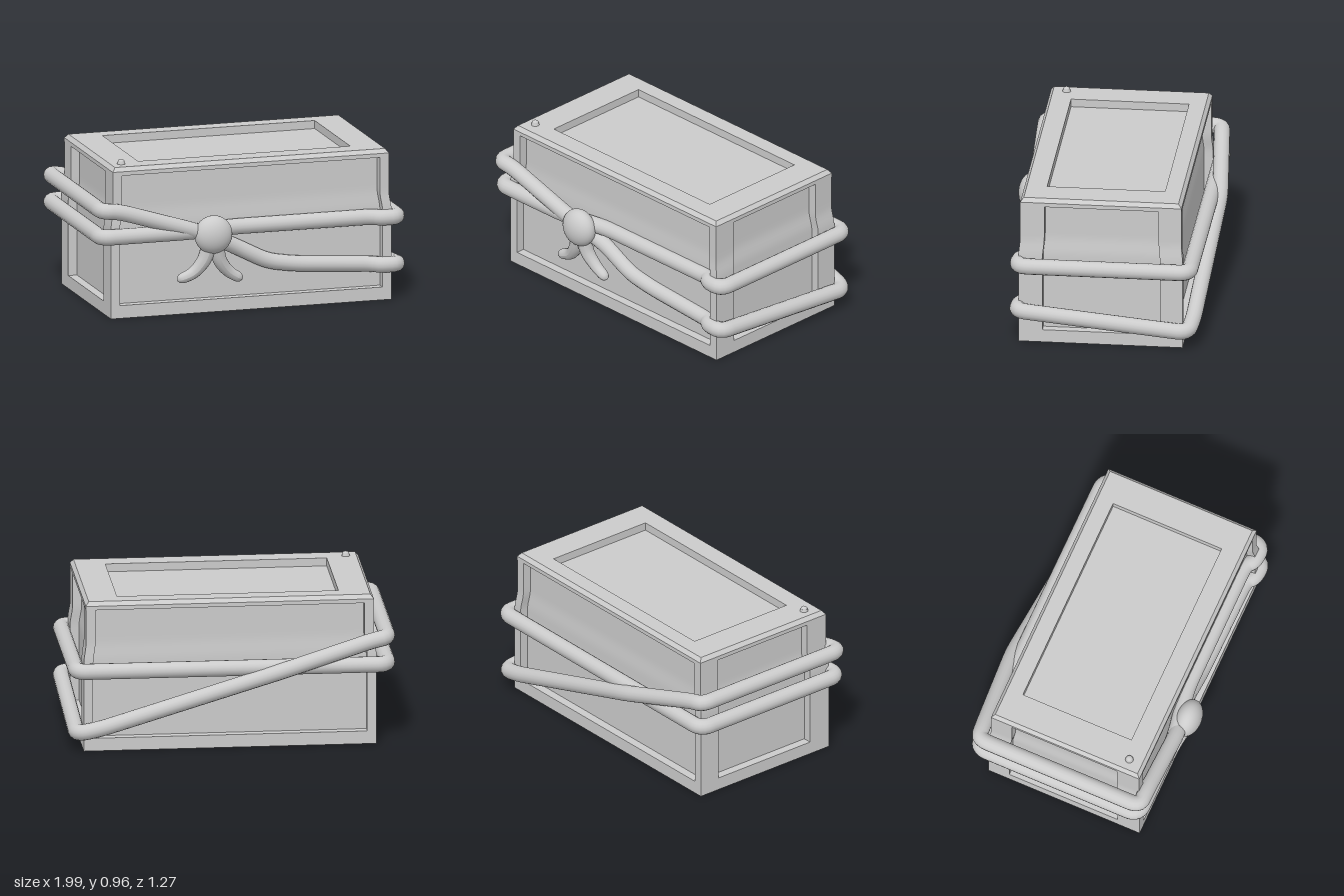
import * as THREE from 'three';

const mat = new THREE.MeshStandardMaterial({ color: 0xcccccc });
const V = (x, y, z) => new THREE.Vector3(x, y, z);

function add(parent, name, geo, x = 0, y = 0, z = 0) {
  const m = new THREE.Mesh(geo, mat);
  m.name = name;
  m.position.set(x, y, z);
  parent.add(m);
  return m;
}

// Box from limits, drawn in slightly above mid height
function taperedBox(x0, x1, y0, y1, z0, z1) {
  const g = new THREE.BoxGeometry(x1 - x0, y1 - y0, z1 - z0, 1, 30, 1);
  g.translate((x0 + x1) / 2, (y0 + y1) / 2, (z0 + z1) / 2);
  const p = g.attributes.position;
  for (let i = 0; i < p.count; i++) {
    const f = THREE.MathUtils.smoothstep(p.getY(i), 0.55, 0.68);
    p.setX(i, p.getX(i) - Math.sign(p.getX(i)) * 0.015 * f);
    p.setZ(i, p.getZ(i) - Math.sign(p.getZ(i)) * 0.01 * f);
  }
  g.computeVertexNormals();
  return g;
}

// Closed loop of straight runs joined by rounded corners
function ropeLoop(points, cut, radius) {
  const path = new THREE.CurvePath();
  const n = points.length;
  const toward = (a, b) => {
    const d = b.clone().sub(a);
    return a.clone().addScaledVector(d.clone().normalize(), Math.min(cut, d.length() * 0.45));
  };
  for (let i = 0; i < n; i++) {
    const a = points[i], b = points[(i + 1) % n], c = points[(i + 2) % n];
    path.add(new THREE.LineCurve3(toward(a, b), toward(b, a)));
    path.add(new THREE.QuadraticBezierCurve3(toward(b, a), b, toward(b, c)));
  }
  return new THREE.TubeGeometry(path, 360, radius, 16, true);
}

// Tapering tail with a rounded tip
function tailGeometry(points) {
  const curve = new THREE.CatmullRomCurve3(points);
  const segs = 28, sides = 16;
  const g = new THREE.TubeGeometry(curve, segs, 1, sides, false);
  const p = g.attributes.position, v = V(0, 0, 0);
  for (let i = 0; i < p.count; i++) {
    const t = Math.floor(i / (sides + 1)) / segs;
    const c = curve.getPointAt(t);
    const tip = t > 0.86 ? Math.sqrt(Math.max(0, 1 - ((t - 0.86) / 0.14) ** 2)) : 1;
    const r = (0.05 - 0.02 * t) * tip;
    v.fromBufferAttribute(p, i).sub(c).multiplyScalar(r).add(c);
    p.setXYZ(i, v.x, v.y, v.z);
  }
  g.computeVertexNormals();
  return g;
}

// Chamfered lid frame with a rectangular opening
function lidGeometry() {
  const rect = (T, x0, x1, z0, z1) => new T([
    new THREE.Vector2(x0, -z1), new THREE.Vector2(x1, -z1),
    new THREE.Vector2(x1, -z0), new THREE.Vector2(x0, -z0)]);
  const shape = rect(THREE.Shape, -0.87, 0.887, -0.481, 0.503);
  shape.holes.push(rect(THREE.Path, -0.665, 0.685, -0.36, 0.36));
  const g = new THREE.ExtrudeGeometry(shape, { depth: 0.05, steps: 2, bevelEnabled: false });
  g.rotateX(-Math.PI / 2);
  const p = g.attributes.position;
  for (let i = 0; i < p.count; i++) {
    if (p.getY(i) > 0.04 && Math.abs(p.getX(i)) > 0.8) {
      p.setX(i, p.getX(i) - Math.sign(p.getX(i)) * 0.02);
      p.setZ(i, p.getZ(i) - Math.sign(p.getZ(i)) * 0.02);
    }
  }
  g.computeVertexNormals();
  return g;
}

export function createModel() {
  const root = new THREE.Group();
  root.name = 'tiedCrate';

  // Crate: recessed panels, corner posts, base rail and lid
  const crate = new THREE.Group();
  crate.name = 'crate';
  root.add(crate);
  const X = [-0.885, 0.9], Z = [-0.49, 0.513];
  add(crate, 'panels', taperedBox(X[0] + 0.055, X[1] - 0.055, 0.01, 0.885, Z[0] + 0.055, Z[1] - 0.055));
  add(crate, 'baseRail', taperedBox(X[0], X[1], 0, 0.08, Z[0], Z[1]));
  for (const [x0, x1] of [[X[0], -0.828], [0.843, X[1]]])
    for (const [z0, z1] of [[Z[0], -0.352], [0.366, Z[1]]])
      add(crate, 'cornerPost', taperedBox(x0, x1, 0.04, 0.89, z0, z1));
  add(crate, 'lidFrame', lidGeometry(), 0, 0.885, 0);

  // Small stud on the lid
  const stud = new THREE.Group();
  stud.name = 'stud';
  stud.position.set(-0.785, 0.932, 0.4);
  root.add(stud);
  add(stud, 'studBase', new THREE.CylinderGeometry(0.021, 0.026, 0.018, 12), 0, 0.009, 0);
  add(stud, 'studDome', new THREE.SphereGeometry(0.021, 12, 6, 0, Math.PI * 2, 0, Math.PI / 2), 0, 0.017, 0).scale.y = 0.75;

  // Ropes: a level one and a slanting one that cross at the front and back
  const ropes = new THREE.Group();
  ropes.name = 'ropes';
  root.add(ropes);
  const r = 0.049;
  add(ropes, 'levelRope', ropeLoop([
    V(-0.95, 0.513, 0), V(-0.95, 0.513, 0.533), V(-0.4, 0.513, 0.53),
    V(-0.08, 0.513, 0.472), V(0.79, 0.513, 0.47), V(0.83, 0.513, 0.515),
    V(0.946, 0.513, 0.515), V(0.946, 0.513, -0.533), V(-0.95, 0.513, -0.54)], 0.07, r));
  add(ropes, 'slantingRope', ropeLoop([
    V(-0.95, 0.68, 0), V(-0.95, 0.68, 0.54), V(-0.84, 0.67, 0.538), V(-0.36, 0.52, 0.535),
    V(-0.1, 0.4, 0.475), V(0.12, 0.285, 0.472), V(0.3, 0.255, 0.47), V(0.79, 0.22, 0.47),
    V(0.83, 0.22, 0.515), V(0.946, 0.22, 0.52), V(0.946, 0.12, -0.525),
    V(0.8, 0.155, -0.545), V(-0.3, 0.5, -0.59), V(-0.86, 0.665, -0.54),
    V(-0.95, 0.68, -0.53)], 0.07, r));

  // Knot with two loose tails
  const knot = new THREE.Group();
  knot.name = 'knot';
  root.add(knot);
  add(knot, 'knotBall', new THREE.SphereGeometry(1, 32, 20), -0.247, 0.492, 0.555).scale.set(0.118, 0.118, 0.08);
  add(knot, 'rightTail', tailGeometry([
    V(-0.265, 0.43, 0.54), V(-0.3, 0.33, 0.53), V(-0.36, 0.255, 0.515), V(-0.465, 0.21, 0.51)]));
  add(knot, 'leftTail', tailGeometry([
    V(-0.225, 0.43, 0.54), V(-0.2, 0.33, 0.53), V(-0.14, 0.25, 0.515), V(-0.048, 0.19, 0.51)]));
  return root;
}
